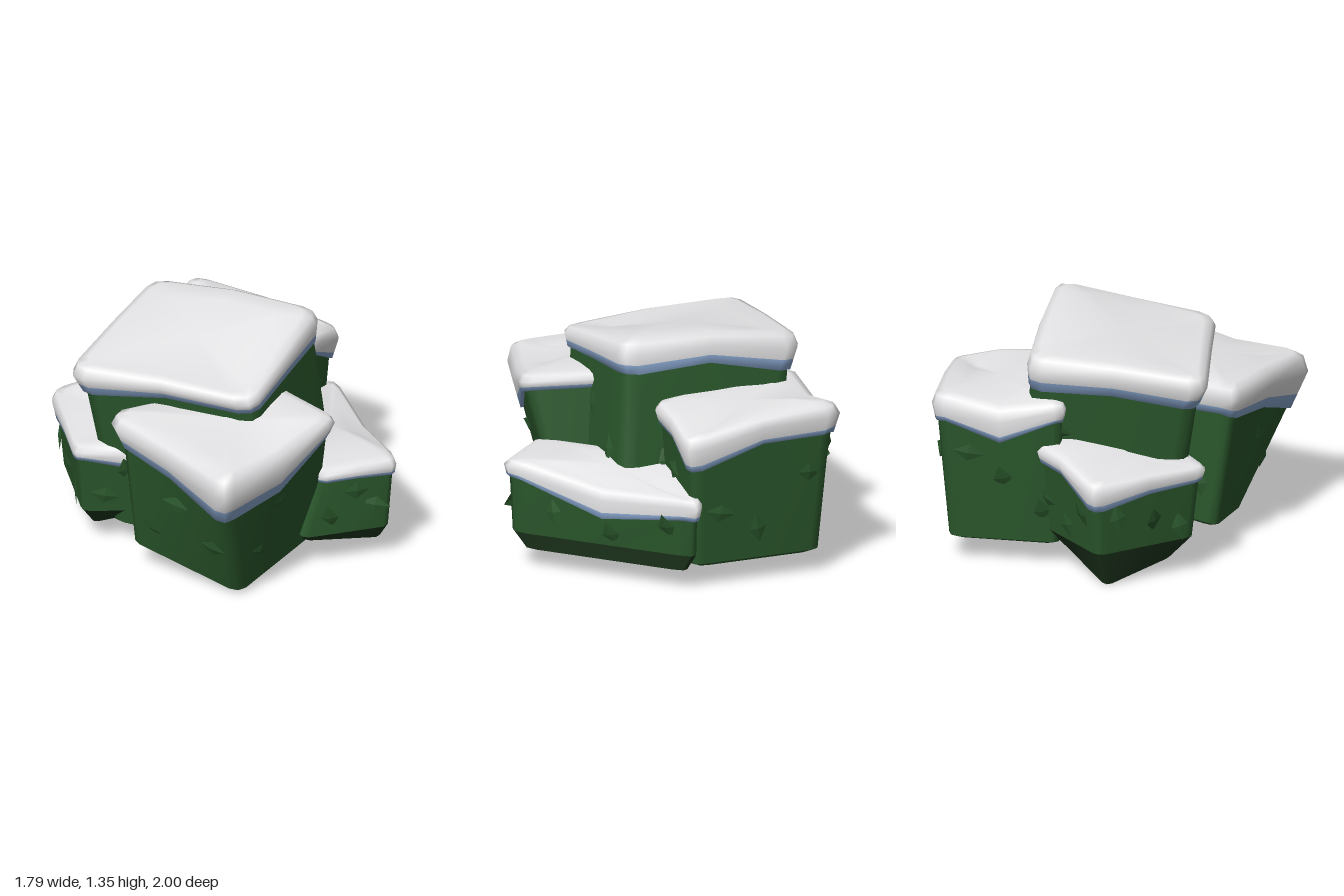
import * as THREE from 'three';
import { toCreasedNormals } from 'three/addons/utils/BufferGeometryUtils.js';

const V = (x, y, z) => new THREE.Vector3(x, y, z);

// Points moved sideways toward their common middle
function insetPoints(points, inset) {
  const c = V(0, 0, 0);
  points.forEach(p => c.addScaledVector(p, 0.25));
  return points.map(p => p.clone().addScaledVector(c.clone().sub(p).setY(0).normalize(), inset));
}

// A loop of 16 points: three per chamfered corner and one per edge middle
function loop(points, inset, midY) {
  const q = insetPoints(points, inset), out = [];
  q.forEach((p, i) => {
    const prev = q[(i + 3) % 4], next = q[(i + 1) % 4];
    const mid = p.clone().lerp(next, 0.5);
    if (midY) mid.y = midY[i];
    out.push(p.clone().lerp(prev, 0.09));
    out.push(p.clone().lerp(prev.clone().lerp(next, 0.5), 0.05));
    out.push(p.clone().lerp(next, 0.09), mid);
  });
  return out;
}

// Skins loops from bottom to top, with optional end caps
function loft(rings, capBottom, capTop, lift = 0) {
  const n = rings[0].length, pts = rings.flat(), idx = [];
  for (let r = 0; r < rings.length - 1; r++) {
    for (let i = 0; i < n; i++) {
      const j = (i + 1) % n, a = r * n + i, b = r * n + j;
      idx.push(a, b, b + n, a, b + n, a + n);
    }
  }
  const cap = (ring, start, up) => {
    const c = V(0, up ? lift : 0, 0);
    ring.forEach(p => c.addScaledVector(p, 1 / n));
    const k = pts.push(c) - 1;
    for (let i = 0; i < n; i++) {
      const a = start + i, b = start + (i + 1) % n;
      if (up) idx.push(k, a, b); else idx.push(k, b, a);
    }
  };
  if (capBottom) cap(rings[0], 0, false);
  if (capTop) cap(rings[rings.length - 1], (rings.length - 1) * n, true);
  const g = new THREE.BufferGeometry().setFromPoints(pts);
  g.setIndex(idx);
  g.computeVertexNormals();
  return g;
}

// Flat diamond leaf with a slightly raised middle
function leafGeometry() {
  const g = new THREE.ConeGeometry(0.09, 0.01, 4, 1, true);
  g.rotateX(Math.PI / 2).scale(0.6, 1, 1);
  return toCreasedNormals(g, 0.01);
}

export function createModel() {
  const model = new THREE.Group();
  model.name = 'snowyBush';
  const mat = (name, color, side = THREE.FrontSide) => {
    const m = new THREE.MeshStandardMaterial({ color, side });
    m.name = name;
    return m;
  };
  const green = mat('hedge green', 0x2b582c, THREE.DoubleSide);
  const dark = mat('underside green', 0x203820);
  const white = mat('snow white', 0xf8f8fa);
  const blue = mat('snow shade blue', 0x8fadd6, THREE.DoubleSide);
  const leafGeo = leafGeometry();
  let seed = 11;
  const rand = () => (seed = (seed * 16807) % 2147483647) / 2147483647;

  // corners: front, right, back, left as [x, z, snow edge y, snow top y];
  // mids: snow edge height halfway to the next corner;
  // foot: the corners inset, shifted by (x, z) and set at height y;
  // snow: blue share of the thickness, lip overhang, sideways slide of the lip;
  // kicks: extra moves of the front and right feet;
  // under: inset of the underside and its drop at each corner
  function addBlock(name, corners, mids, foot, snow, { kicks = [], under, soil = green }) {
    const block = new THREE.Group();
    block.name = name;
    model.add(block);
    const add = (part, geo, material) => {
      const m = new THREE.Mesh(geo, material);
      m.name = part;
      block.add(m);
      return m;
    };
    const raw = corners.map(c => V(c[0], c[2], c[1]));
    const outer = insetPoints(raw, -0.026);
    const at = t => outer.map((p, i) => V(p.x, p.y + (corners[i][3] - p.y) * t, p.z));
    // Snow lip: tucked in more where the snow is thick
    const lip = outer.map((p, i) => {
      const q = insetPoints(outer, (corners[i][3] - p.y) * snow.lip)[i];
      return q.setX(q.x + snow.slide);
    });
    const tops = corners.map((c, i) => {
      const d = corners[(i + 1) % 4];
      return (c[3] + d[3]) / 2 + 0.4 * (mids[i] - (c[2] + d[2]) / 2);
    });
    const midAt = t => mids.map((y, i) => y + (tops[i] - y) * t);

    const feet = insetPoints(raw, foot.inset).map(p => V(p.x + foot.x, foot.y, p.z + foot.z));
    kicks.forEach((k, i) => feet[i].add(k));
    const sole = feet.map((p, i) => V(p.x, Math.max(0, p.y - under[i + 1]), p.z));

    // Leafy sides and sloping underside
    const raised = lip.map(p => p.clone().setY(p.y + 0.02));
    add('body', loft([loop(feet, 0), loop(raised, 0.018, mids.map(y => y + 0.02))], false, false), green);
    add('underside', toCreasedNormals(loft([loop(sole, under[0]), loop(feet, 0)], true, false), 0.6), soil);

    // Blue shaded rim under the snow
    const belly = at(0.6);
    const rim = loop(lip.map((p, i) => p.clone().lerp(belly[i], snow.blue / 0.6)), 0, midAt(snow.blue));
    add('snowRim', loft([loop(lip, 0.035, mids), loop(lip, 0, mids), rim], false, false), blue);

    // Rounded snow cap
    add('snowCap', loft([rim, loop(belly, 0, midAt(0.6)), loop(at(0.9), 0.03, midAt(0.88)),
      loop(at(1), 0.095, tops), loop(at(1), 0.28, tops)], false, true, 0.008), white);

    // Leaves scattered over the four sides
    for (let f = 0; f < 4; f++) {
      const g = (f + 1) % 4;
      for (let k = 0; k < 3; k++) {
        const u = 0.2 + 0.28 * k + 0.08 * rand();
        const v = 0.25 + 0.45 * ((k * 2 + f) % 3) / 2 + 0.1 * rand();
        const a = feet[f].clone().lerp(feet[g], u), b = lip[f].clone().lerp(lip[g], u);
        const n = feet[g].clone().sub(feet[f]).cross(b.clone().sub(a)).normalize();
        const leaf = add('leaf', leafGeo, green);
        leaf.position.copy(a.lerp(b, v)).addScaledVector(n, 0.01);
        leaf.lookAt(leaf.position.clone().add(n));
        leaf.rotateZ(rand() < 0.5 ? 0.2 : 1.4);
        leaf.rotateX((rand() - 0.5) * 0.6);
        leaf.rotateY((rand() - 0.5) * 0.6);
      }
    }
  }

  const shallow = [0.05, 0.02, 0.02, 0.02, 0.02];
  addBlock('tallBlock',
    [[-0.31, 0.65, 1.08, 1.19], [0.47, 0.22, 1.17, 1.36], [-0.01, -0.73, 1.07, 1.29], [-0.91, -0.27, 1, 1.2]],
    [1.13, 1.18, 1.06, 1.08], { inset: 0.05, x: 0.19, z: 0.03, y: 0.14 },
    { blue: 0.28, lip: 0.2, slide: 0.03 }, { under: shallow });
  addBlock('backRightBlock',
    [[0.41, 0.04, 0.9, 1.01], [0.89, -0.19, 0.72, 0.94], [0.46, -1, 0.87, 1.04], [-0.22, -0.66, 0.9, 1.01]],
    [0.86, 0.85, 0.76, 0.92], { inset: 0.08, x: -0.02, z: 0.02, y: 0.15 },
    { blue: 0.16, lip: 0.18, slide: 0 }, { under: shallow });
  addBlock('backLeftBlock',
    [[-0.42, 0.05, 0.62, 0.72], [0.04, -0.65, 0.66, 0.77], [-0.59, -0.9, 0.5, 0.68], [-0.89, -0.24, 0.58, 0.67]],
    [0.64, 0.64, 0.56, 0.53], { inset: 0.06, x: 0, z: 0.01, y: 0.23 },
    { blue: 0.22, lip: 0.2, slide: 0 }, { under: [0.13, 0.06, 0.1, 0.23, 0.13], soil: dark });
  addBlock('frontLeftBlock',
    [[-0.73, 1, 0.61, 0.95], [0.15, 0.84, 0.93, 1.03], [0.04, 0.1, 0.99, 1.06], [-0.87, 0.06, 0.84, 1.03]],
    [0.69, 0.95, 0.82, 0.76], { inset: 0.06, x: 0.08, z: -0.02, y: 0.17 },
    { blue: 0.25, lip: 0.3, slide: 0 },
    { kicks: [V(0.17, -0.15, -0.2), V(0.02, 0, -0.19)], under: shallow });
  addBlock('frontRightBlock',
    [[0.1, 0.75, 0.57, 0.65], [0.54, 0.89, 0.56, 0.66], [0.9, -0.25, 0.43, 0.56], [0.35, -0.18, 0.54, 0.64]],
    [0.57, 0.385, 0.5, 0.56], { inset: 0.02, x: -0.02, z: 0, y: 0.22 },
    { blue: 0.2, lip: 0.15, slide: 0 },
    { kicks: [V(-0.09, 0, -0.03)], under: [0.07, 0.05, 0.1, 0.1, 0.1], soil: dark });
  return model;
}
